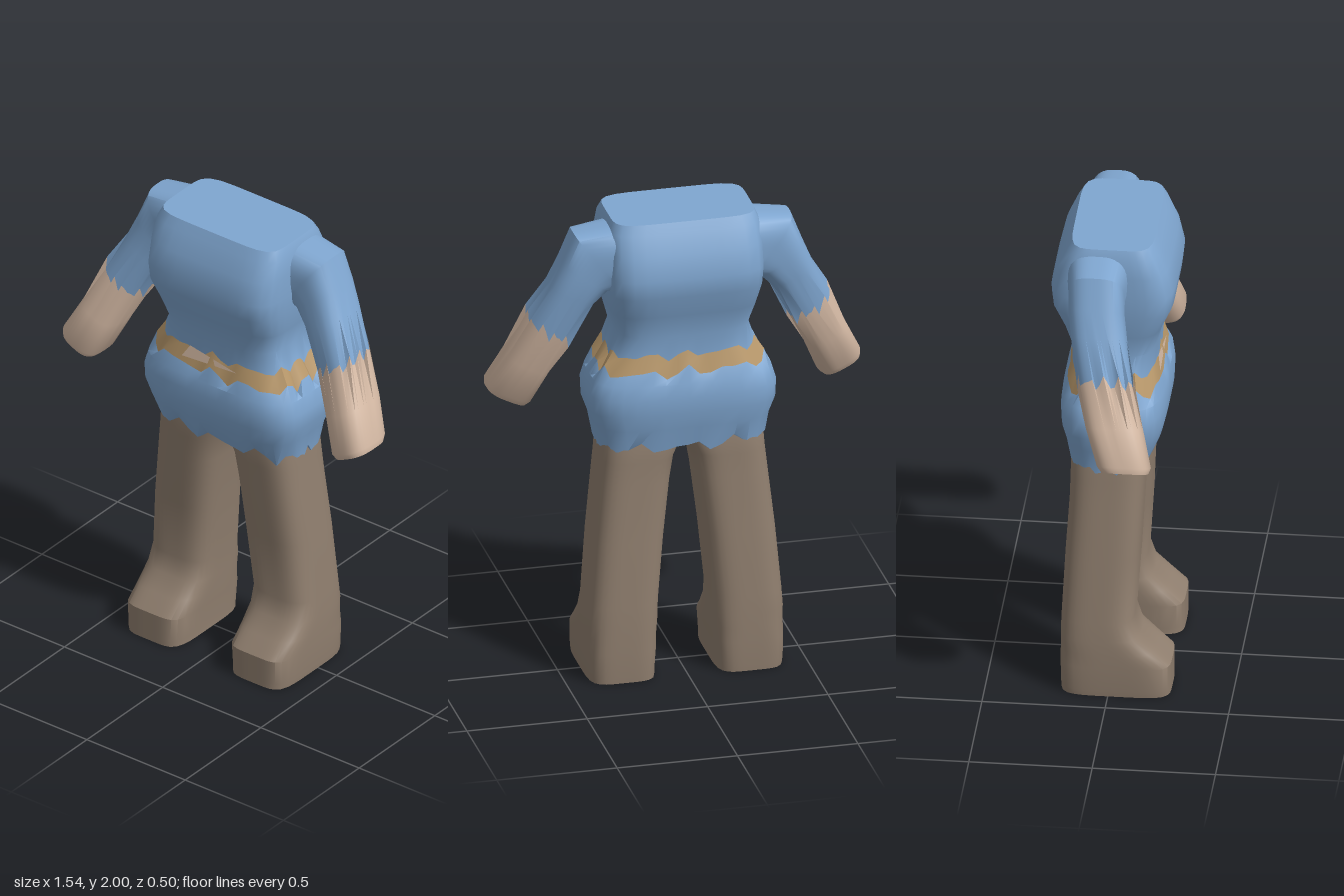
import * as THREE from 'three';
import { toCreasedNormals } from 'three/addons/utils/BufferGeometryUtils.js';

const mat = (name, color) => {
  const m = new THREE.MeshStandardMaterial({ color });
  m.name = name;
  return m;
};

const SEG = 48;

// Skin a list of rounded-square rings, ordered bottom to top. side = -1 mirrors in x.
// ring: c centre, u first half-axis (x, y), d half-depth in z, n squareness, jag ragged edge height
function loft(rings, { side = 1, low = false, high = false } = {}) {
  const pos = [], idx = [];
  const tri = (a, b, c) => (side > 0 ? idx.push(a, b, c) : idx.push(a, c, b));
  rings.forEach(({ c, u, d, n = 4, jag = 0 }) => {
    for (let i = 0; i < SEG; i++) {
      const t = (i / SEG) * Math.PI * 2, co = Math.cos(t), si = Math.sin(t);
      const r = Math.pow(Math.abs(co) ** n + Math.abs(si) ** n, -1 / n);
      const a = r * co, b = -r * si;
      const tooth = jag * (0.6 * (i % 4 === 0 ? 1 : i % 4 === 2 ? -1 : 0) + 0.5 * Math.sin(i * 2.3 + c[1] * 9));
      pos.push(side * (c[0] + u[0] * a), c[1] + u[1] * a + tooth, c[2] + d * b);
    }
  });
  for (let k = 0; k < rings.length - 1; k++) {
    for (let i = 0; i < SEG; i++) {
      const j = (i + 1) % SEG, a = k * SEG, b = a + SEG;
      tri(a + i, a + j, b + j);
      tri(a + i, b + j, b + i);
    }
  }
  const cap = (k, up) => {
    const m = pos.length / 3, c = rings[k].c;
    pos.push(side * c[0], c[1], c[2]);
    for (let i = 0; i < SEG; i++) {
      const a = k * SEG + i, b = k * SEG + (i + 1) % SEG;
      up ? tri(m, a, b) : tri(m, b, a);
    }
  };
  if (low) cap(0, false);
  if (high) cap(rings.length - 1, true);
  const g = new THREE.BufferGeometry();
  g.setAttribute('position', new THREE.Float32BufferAttribute(pos, 3));
  g.setIndex(idx);
  return toCreasedNormals(g, 0.75);
}

// Level ring from its x and z limits
const level = (y, x0, x1, z0, z1, n = 4, jag = 0) => ({
  c: [(x0 + x1) / 2, y, (z0 + z1) / 2], u: [(x1 - x0) / 2, 0], d: (z1 - z0) / 2, n, jag,
});
const body = (y, w, z, n, jag) => level(y, -w, w, -z, z, n, jag);

// Tilted ring across the arm
const across = (x, y, z, w, d, ux, uy, n = 3, jag = 0) => ({ c: [x, y, z], u: [ux * w, uy * w], d, n, jag });

export function createModel() {
  const shirtBlue = mat('shirtBlue', 0x7fa6d0);
  const trouserBrown = mat('trouserBrown', 0x8f7e6e);
  const skin = mat('skin', 0xd3b8a3);
  const beltTan = mat('beltTan', 0xb7976a);
  const model = new THREE.Group();
  model.name = 'figure';
  const add = (name, geometry, material) => {
    const mesh = new THREE.Mesh(geometry, material);
    mesh.name = name;
    model.add(mesh);
  };

  // Torso in three bands sharing their ragged edges
  const beltLow = body(1.345, 0.34, 0.19, 4, 0.03);
  const beltHigh = body(1.415, 0.3, 0.172, 4, 0.022);
  add('hips', loft([
    level(1.01, -0.345, 0.345, -0.175, 0.15, 4, 0.03),
    body(1.1, 0.36, 0.195, 4),
    body(1.17, 0.385, 0.212, 4),
    body(1.24, 0.388, 0.215, 4),
    body(1.3, 0.37, 0.208, 4),
    beltLow,
  ], { low: true }), shirtBlue);
  add('belt', loft([beltLow, beltHigh]), beltTan);
  add('chest', loft([
    beltHigh,
    body(1.5, 0.275, 0.175, 4),
    body(1.6, 0.3, 0.2, 5),
    body(1.7, 0.315, 0.243, 6),
    body(1.78, 0.32, 0.252, 6),
    body(1.88, 0.318, 0.228, 6),
    body(1.96, 0.312, 0.19, 6),
    body(2.0, 0.295, 0.168, 6),
  ], { high: true }), shirtBlue);

  // Bare sliver at the front of the belt
  const sliver = new THREE.Shape([
    new THREE.Vector2(-0.145, 1.37), new THREE.Vector2(0.13, 1.387), new THREE.Vector2(-0.11, 1.425),
  ]);
  const sliverGeometry = new THREE.ShapeGeometry(sliver);
  const p = sliverGeometry.attributes.position;
  for (let i = 0; i < p.count; i++) p.setZ(i, 0.188 - (p.getY(i) - 1.36) * 0.2);
  sliverGeometry.computeVertexNormals();
  add('waistSkin', sliverGeometry, skin);

  for (const side of [1, -1]) {
    const label = side > 0 ? 'left' : 'right';

    // Arm: bare forearm, then sleeve running into the chest
    const elbow = across(0.54, 1.525, 0.005, 0.09, 0.112, 0.9, 0.434, 3, 0.035);
    add(label + 'Forearm', loft([
      across(0.695, 1.2, 0.1, 0.086, 0.095, 0.9, 0.434),
      across(0.685, 1.222, 0.095, 0.096, 0.108, 0.9, 0.434),
      across(0.62, 1.36, 0.05, 0.092, 0.115, 0.9, 0.434),
      elbow,
    ], { side, low: true }), skin);
    add(label + 'Sleeve', loft([
      elbow,
      across(0.455, 1.685, -0.03, 0.098, 0.112, 0.9, 0.434),
      across(0.405, 1.765, -0.045, 0.115, 0.112, 0.82, 0.57),
      across(0.355, 1.825, -0.05, 0.16, 0.112, 0.6, 0.8),
      across(0.26, 1.83, -0.05, 0.15, 0.13, 0, 1),
    ], { side }), shirtBlue);

    // Trouser leg flowing into the foot
    add(label + 'Leg', loft([
      level(0, 0.125, 0.405, -0.195, 0.25, 5),
      level(0.025, 0.125, 0.408, -0.197, 0.25, 5),
      level(0.13, 0.118, 0.41, -0.2, 0.25, 5),
      level(0.19, 0.115, 0.41, -0.2, 0.19, 4),
      level(0.25, 0.113, 0.408, -0.2, 0.125, 4),
      level(0.33, 0.11, 0.403, -0.198, 0.1, 3.5),
      level(0.6, 0.085, 0.38, -0.185, 0.118, 3.5),
      level(0.85, 0.055, 0.353, -0.17, 0.13, 3.5),
      level(0.95, 0.038, 0.342, -0.168, 0.135, 3.5),
      level(1.0, 0.015, 0.338, -0.168, 0.138, 3.5),
      level(1.06, 0.0, 0.33, -0.16, 0.135, 3.5),
    ], { side, low: true }), trouserBrown);
  }
  return model;
}
